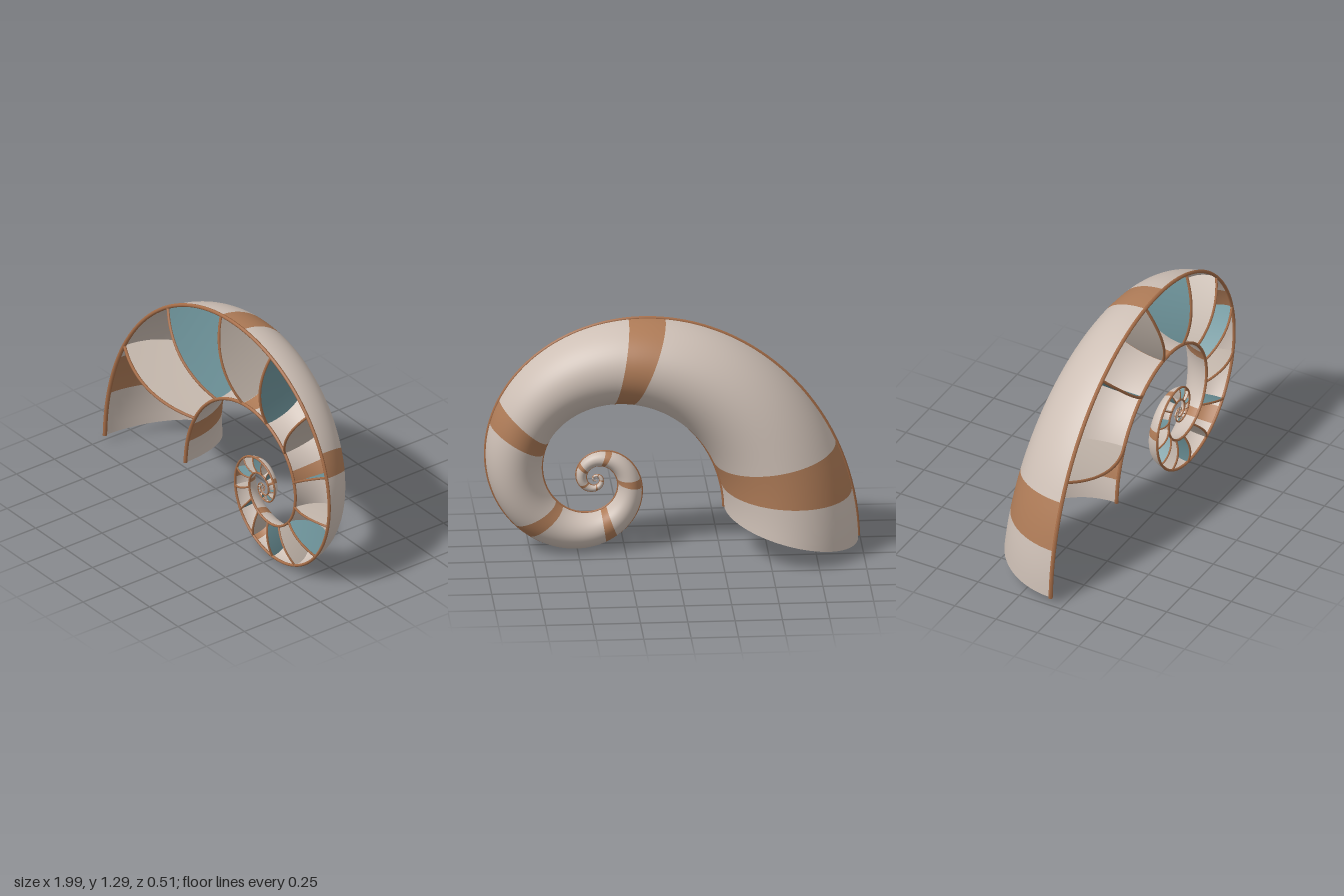
import * as THREE from 'three';

const RAD = Math.PI / 180;
const CX = 0.403, CY = 0.386, CUT = 0.18;   // spiral axis and cutting plane
const START = 194, END = -886;              // degrees: aperture to apex
const INNER = 0.49;                         // inner edge radius / outer edge radius
const DEPTH = 1.2;                          // depth of the section / its half width

const outerR = (deg) => 0.932 * Math.exp(0.2766 * (deg - 105.5) * RAD);
const halfWidth = (deg) => outerR(deg) * (1 - INNER) / 2;
const midR = (deg) => outerR(deg) * (1 + INNER) / 2;
const rimR = (deg) => 0.003 * Math.min(1, outerR(deg) / 0.1) + 0.009 * Math.sqrt(outerR(deg) / 1.43);

// Point at an angle, a radius and a z, shifted along the spiral by "shift"
function polar(deg, r, z, shift = 0) {
  const c = Math.cos(deg * RAD), s = Math.sin(deg * RAD);
  return new THREE.Vector3(CX + r * c - shift * s, CY + r * s + shift * c, z);
}

// Surface through a grid of points fn(s, t), s and t in 0..1
function grid(fn, ns, nt) {
  const pos = [], index = [];
  for (let i = 0; i <= ns; i++) {
    for (let j = 0; j <= nt; j++) {
      pos.push(...fn(i / ns, j / nt).toArray());
      if (i < ns && j < nt) {
        const a = i * (nt + 1) + j, b = a + nt + 1;
        index.push(a, b, a + 1, b, b + 1, a + 1);
      }
    }
  }
  const g = new THREE.BufferGeometry();
  g.setAttribute('position', new THREE.Float32BufferAttribute(pos, 3));
  g.setIndex(index);
  g.computeVertexNormals();
  return g;
}

export function createModel() {
  const model = new THREE.Group();
  model.name = 'cutSpiralShell';

  const material = (name, color) =>
    Object.assign(new THREE.MeshStandardMaterial({ color, side: THREE.DoubleSide }), { name });
  const shellMat = material('shellBeige', 0xcdbfb5);
  const bandMat = material('bandBrown', 0xae7b57);
  const rimMat = material('rimBrown', 0xa56d48);
  const paleMat = material('septumPale', 0xc4b7ac);
  const tealMat = material('septumTeal', 0x6f959c);

  const add = (name, geometry, mat, parent = model) => {
    const mesh = new THREE.Mesh(geometry, mat);
    mesh.name = name;
    parent.add(mesh);
  };

  // Half shell: a half-ellipse section swept along the spiral, piece by piece
  const shell = new THREE.Group();
  shell.name = 'shell';
  model.add(shell);
  const piece = (name, from, to, mat) => {
    if (from <= to) return;
    add(name, grid((s, t) => {
      const deg = from + (to - from) * s, a = halfWidth(deg), phi = Math.PI * t;
      return polar(deg, midR(deg) + a * Math.cos(phi), CUT - DEPTH * a * Math.sin(phi));
    }, Math.ceil((from - to) / 2.5), 32), mat, shell);
  };
  let from = START;
  for (let top = 183; top - 11.5 > END; top -= 70.5) {
    piece('shellWall', from, top, shellMat);
    piece('colourBand', top, top - 11.5, bandMat);
    from = top - 11.5;
  }
  piece('shellWall', from, END, shellMat);

  // Tapering rims along both cut edges, closed at the ends
  for (const [name, ratio] of [['outerRim', 1], ['innerRim', INNER]]) {
    const n = 432;
    add(name, grid((s, t) => {
      const k = Math.min(Math.max(s * n - 1, 0), n - 2) / (n - 2);
      const deg = START + (END - START) * k;
      const rho = s === 0 || s === 1 ? 0 : rimR(deg) * (ratio === 1 ? 1 : 0.9);
      const phi = 2 * Math.PI * t;
      return polar(deg, outerR(deg) * ratio + rho * Math.cos(phi), CUT + rho * Math.sin(phi));
    }, n, 8), rimMat);
  }

  // Chamber walls: slightly domed plates whose front edge bows out of the cut
  for (let i = 0; i < 36; i++) {
    const deg = 166.6 - 27.1 * i;
    const a = halfWidth(deg) * 0.995, mid = midR(deg);
    const point = (u, v) => {
      const bow = 1 - u * u;
      const front = 0.22 * a * bow, back = -DEPTH * a * Math.sqrt(Math.max(bow, 0));
      return polar(deg, mid + a * u, CUT + front + (back - front) * v, 0.07 * a * bow * (1 - v * v));
    };
    const chamber = new THREE.Group();
    chamber.name = 'chamberWall';
    model.add(chamber);
    add('septum', grid((s, t) => point(-Math.cos(Math.PI * s), t), 24, 6),
      i % 2 ? tealMat : paleMat, chamber);

    const path = [];
    for (let j = 0; j <= 8; j++) path.push(point(-1 + j / 4, 0));
    add('septumRim', new THREE.TubeGeometry(new THREE.CatmullRomCurve3(path), 20,
      Math.min(rimR(deg) * 0.75, a * 0.08), 6), rimMat, chamber);
  }

  return model;
}
